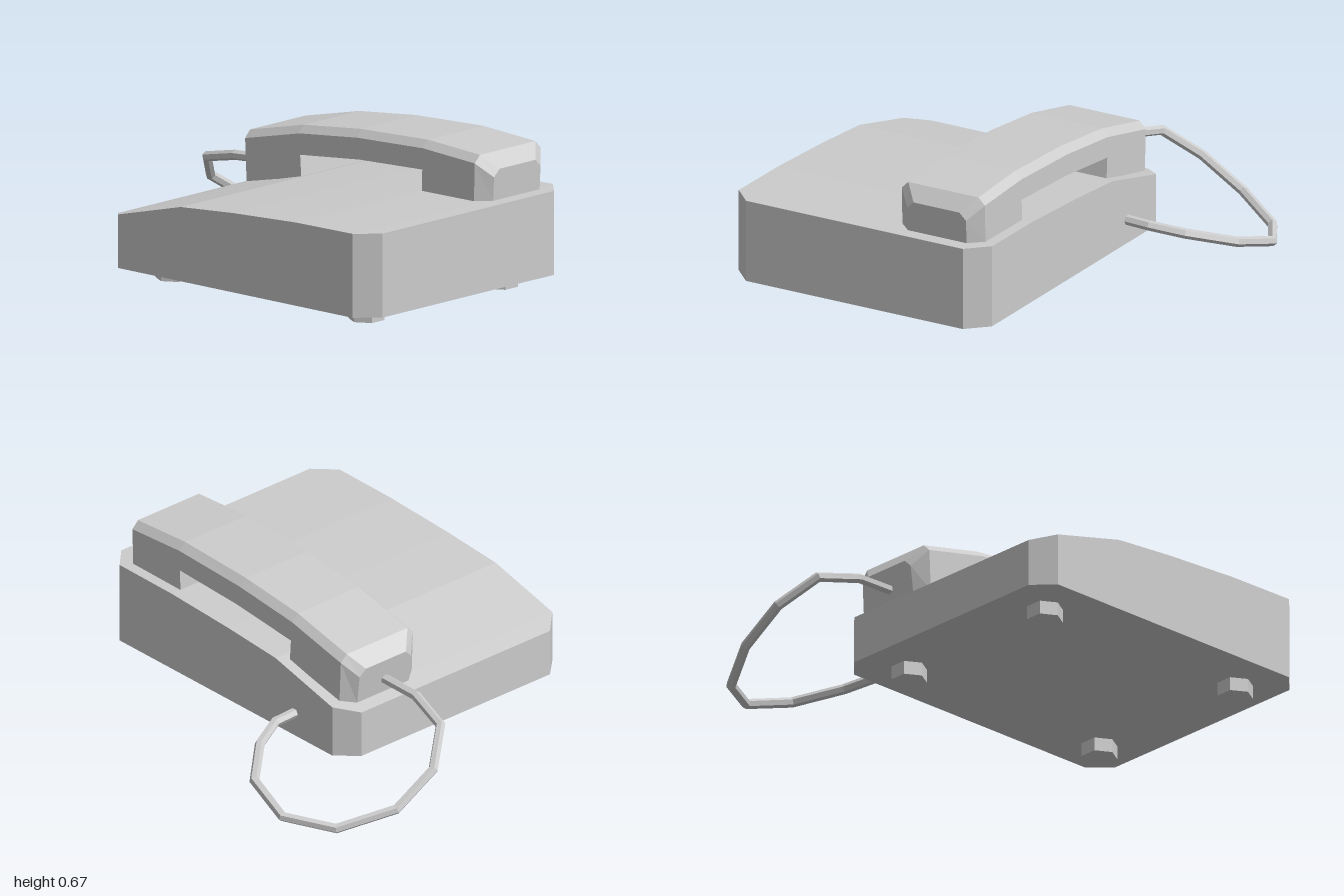
import * as THREE from 'three';

const material = new THREE.MeshStandardMaterial({ color: 0xcccccc, flatShading: true });

function add(group, name, geometry, x = 0, y = 0, z = 0) {
  const mesh = new THREE.Mesh(geometry, material);
  mesh.name = name;
  mesh.position.set(x, y, z);
  group.add(mesh);
  return mesh;
}

// Skin convex rings running from front to back, and close both ends.
// Each ring is counter-clockwise as seen from the front.
function loft(rings) {
  const positions = [];
  const tri = (...corners) => corners.forEach((p) => positions.push(...p));
  const n = rings[0].length;
  for (let i = 0; i < rings.length - 1; i++) {
    const a = rings[i], b = rings[i + 1];
    for (let j = 0; j < n; j++) {
      const k = (j + 1) % n;
      tri(a[j], b[j], a[k]);
      tri(a[k], b[j], b[k]);
    }
  }
  const first = rings[0], last = rings[rings.length - 1];
  for (let j = 1; j < n - 1; j++) {
    tri(first[0], first[j], first[j + 1]);
    tri(last[0], last[j + 1], last[j]);
  }
  const geometry = new THREE.BufferGeometry();
  geometry.setAttribute('position', new THREE.Float32BufferAttribute(positions, 3));
  geometry.computeVertexNormals();
  return geometry;
}

// Base: cut corners in plan, top sloping down to the back
function baseGeometry() {
  const sections = [ // z, half width, top height
    [1, 0.535, 0.455], [0.91, 0.625, 0.455], [0.58, 0.625, 0.452], [0.22, 0.625, 0.435],
    [-0.08, 0.625, 0.413], [-0.44, 0.625, 0.323], [-0.525, 0.535, 0.3],
  ];
  return loft(sections.map(([z, w, top]) => [[-w, 0.09, z], [w, 0.09, z], [w, top, z], [-w, top, z]]));
}

// Handset: arched grip with an ear and a mouth block, bevelled along the top
function handsetGeometry() {
  const sections = [ // top z, top y, bottom z, bottom y, half width
    [0.942, 0.59, 0.935, 0.455, 0.145],
    [0.885, 0.652, 0.88, 0.455, 0.205],
    [0.585, 0.67, 0.58, 0.452, 0.205],
    [0.585, 0.67, 0.588, 0.545, 0.205],
    [0.2, 0.655, 0.22, 0.53, 0.205],
    [-0.13, 0.62, -0.135, 0.495, 0.205],
    [-0.13, 0.62, -0.115, 0.4, 0.205],
    [-0.44, 0.55, -0.43, 0.332, 0.205],
    [-0.495, 0.48, -0.475, 0.32, 0.145],
  ];
  const bevel = 0.032;
  return loft(sections.map(([zt, yt, zb, yb, w]) => {
    const ys = yt - bevel, zs = zt + (zb - zt) * bevel / (yt - yb);
    return [
      [-w, yb, zb], [w, yb, zb], [w, ys, zs],
      [w - bevel, yt, zt], [bevel - w, yt, zt], [-w, ys, zs],
    ];
  }));
}

// Cord: faceted loop from the back of the handset to the side of the base
function cordGeometry() {
  const points = [
    [0.12, 0.385, -0.46], [0.11, 0.375, -0.67], [0.15, 0.33, -0.87], [0.285, 0.21, -0.975],
    [0.49, 0.09, -0.97], [0.715, 0.026, -0.84], [0.838, 0.045, -0.635], [0.795, 0.11, -0.41],
    [0.63, 0.165, -0.26], [0.49, 0.193, -0.2], [0.36, 0.198, -0.2],
  ].map((p) => new THREE.Vector3(...p));
  const curve = new THREE.CatmullRomCurve3(points);
  curve.getUtoTmapping = (u) => u; // one straight piece between each pair of points
  return new THREE.TubeGeometry(curve, points.length - 1, 0.022, 6);
}

export function createModel() {
  const model = new THREE.Group();
  model.name = 'deskTelephone';

  add(model, 'base', baseGeometry(), -0.245);
  add(model, 'handset', handsetGeometry(), 0.125);
  add(model, 'cord', cordGeometry()).material = new THREE.MeshStandardMaterial({
    color: 0xcccccc, flatShading: true, side: THREE.DoubleSide,
  });

  // Hexagonal feet
  const foot = new THREE.CylinderGeometry(0.078, 0.078, 0.065, 6, 1, false, Math.PI / 2);
  for (const x of [-0.66, 0.173]) {
    for (const z of [0.797, -0.315]) add(model, 'foot', foot, x, 0.0625, z);
  }
  return model;
}
